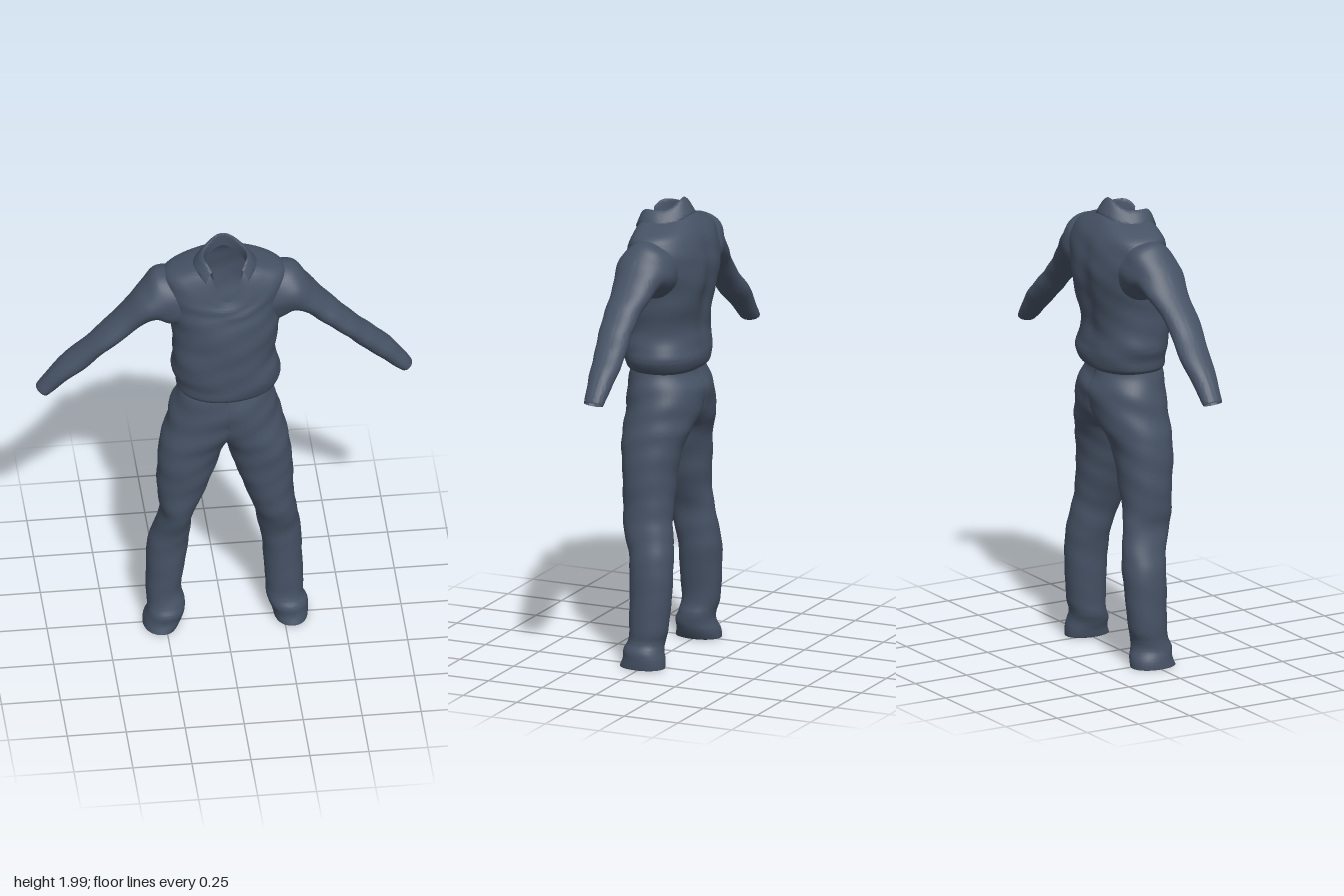
import * as THREE from 'three';
import { toCreasedNormals } from 'three/addons/utils/BufferGeometryUtils.js';

const cloth = new THREE.MeshStandardMaterial({ color: 0x465265, side: THREE.DoubleSide });
cloth.name = 'slate blue cloth';

// Smooth interpolation between neighbouring cross-sections
function blend(rows, t) {
  const i = Math.min(Math.floor(t), rows.length - 2), f = t - i;
  const a = rows[Math.max(i - 1, 0)], b = rows[i], c = rows[i + 1], d = rows[Math.min(i + 2, rows.length - 1)];
  return b.map((_, k) => {
    const m0 = (c[k] - a[k]) / 2, m1 = (d[k] - b[k]) / 2;
    const f2 = f * f, f3 = f2 * f;
    return (2 * f3 - 3 * f2 + 1) * b[k] + (f3 - 2 * f2 + f) * m0 + (3 * f2 - 2 * f3) * c[k] + (f3 - f2) * m1;
  });
}

// Soft fabric folds, as a small change of girth
function folds(x, y, z) {
  return Math.sin(26 * y + 17 * x + 9 * z) * Math.sin(15 * z - 11 * x + 5 * y) +
    0.6 * Math.sin(57 * y - 23 * x + 19 * z);
}

// Section rows: [ax, ay, bx, by, zFront, zBack, frontLift, backLift];
// each section is an oval that spans from A to B and from zBack to zFront.
function loft(name, rows, { from = 0, to = Math.PI * 2, segs = 48, steps = 6, power = 1, fold = 0.02, warp } = {}) {
  const closed = to - from > 6.28;
  const cols = closed ? segs : segs + 1;
  const count = (rows.length - 1) * steps;
  const pos = [], index = [];
  for (let r = 0; r <= count; r++) {
    const [ax, ay, bx, by, zf, zb, lf = 0, lb = 0] = blend(rows, r / steps);
    for (let j = 0; j < cols; j++) {
      const t = from + (to - from) * j / segs;
      const c0 = Math.cos(t), s0 = Math.sin(t);
      let c = Math.sign(c0) * Math.abs(c0) ** power, s = Math.sign(s0) * Math.abs(s0) ** power;
      const mx = (ax + bx) / 2, my = (ay + by) / 2, mz = (zf + zb) / 2;
      const hx = (bx - ax) / 2, hy = (by - ay) / 2, hz = (zf - zb) / 2;
      const g = 1 + fold * folds(mx + hx * c, my + hy * c, mz + hz * s);
      c *= g;
      s *= g;
      const p = new THREE.Vector3(mx + hx * c, my + hy * c + (s0 > 0 ? lf : lb) * s0 ** 4, mz + hz * s);
      if (warp) warp(p);
      pos.push(p.x, p.y, p.z);
    }
  }
  for (let r = 0; r < count; r++) {
    for (let j = 0; j < segs; j++) {
      const k = (j + 1) % cols, a = r * cols + j, b = r * cols + k;
      index.push(a, a + cols, b, b, a + cols, b + cols);
    }
  }
  const geo = new THREE.BufferGeometry();
  geo.setAttribute('position', new THREE.Float32BufferAttribute(pos, 3));
  geo.setIndex(index);
  const mesh = new THREE.Mesh(toCreasedNormals(geo, 0.9), cloth);
  mesh.name = name;
  return mesh;
}

// Level section
const level = (y, xa, xb, zf, zb, lf = 0, lb = 0) => [xa, y, xb, y, zf, zb, lf, lb];

export function createModel() {
  const model = new THREE.Group();
  model.name = 'shirtAndTrousers';

  // Shirt body, from the gathered hem up to the V-shaped neckline
  model.add(loft('shirtBody', [
    level(1.265, -0.185, 0.185, 0.16, -0.125),
    level(1.285, -0.205, 0.215, 0.175, -0.148),
    level(1.33, -0.212, 0.238, 0.18, -0.158),
    level(1.38, -0.225, 0.232, 0.182, -0.15),
    level(1.45, -0.22, 0.212, 0.185, -0.143),
    level(1.55, -0.22, 0.225, 0.185, -0.16),
    level(1.65, -0.235, 0.24, 0.178, -0.178),
    level(1.73, -0.255, 0.255, 0.166, -0.183, -0.03),
    level(1.81, -0.265, 0.265, 0.158, -0.167, -0.08),
    level(1.865, -0.25, 0.25, 0.152, -0.145, -0.115),
    level(1.9, -0.18, 0.18, 0.147, -0.11, -0.135, 0.015),
    level(1.925, -0.088, 0.088, 0.14, -0.06, -0.145, 0.03),
  ], {
    segs: 72, power: 0.9, fold: 0.012,
    // shallow groove along the spine
    warp: (p) => {
      if (p.z < 0 && p.y > 1.35 && p.y < 1.88) {
        const fade = Math.sin(Math.PI * (p.y - 1.35) / 0.53);
        p.z += 0.016 * fade * Math.exp(-((p.x / 0.045) ** 2));
      }
    },
  }));

  // Fold-over collar, open at the front
  model.add(loft('collar', [
    level(1.91, -0.086, 0.086, 0.13, -0.052, -0.1, 0.03),
    level(1.952, -0.09, 0.09, 0.132, -0.05, -0.11, 0.044),
    level(1.96, -0.097, 0.097, 0.137, -0.056, -0.11, 0.042),
    level(1.948, -0.112, 0.112, 0.144, -0.07, -0.11, 0.04),
    level(1.912, -0.135, 0.135, 0.156, -0.095, -0.1, 0.03),
    level(1.906, -0.13, 0.13, 0.15, -0.09, -0.1, 0.03),
  ], { from: Math.PI * 0.73, to: Math.PI * 2.27, fold: 0 }));

  // Sleeves, from inside the shoulder down to the open cuff
  for (const side of [1, -1]) {
    const rows = [
      [0.16, 1.59, 0.16, 1.85, 0.11, -0.125],
      [0.225, 1.605, 0.285, 1.865, 0.115, -0.122],
      [0.28, 1.648, 0.35, 1.8, 0.112, -0.102],
      [0.335, 1.635, 0.41, 1.72, 0.1, -0.085],
      [0.415, 1.572, 0.49, 1.636, 0.095, -0.063],
      [0.505, 1.492, 0.572, 1.552, 0.086, -0.058],
      [0.575, 1.42, 0.645, 1.482, 0.074, -0.062],
      [0.645, 1.358, 0.71, 1.418, 0.062, -0.058],
      [0.705, 1.302, 0.762, 1.352, 0.05, -0.048],
      [0.745, 1.27, 0.797, 1.3, 0.043, -0.043],
      [0.735, 1.284, 0.778, 1.312, 0.037, -0.037],
    ].map(([ax, ay, bx, by, zf, zb]) => [side * ax, ay, side * bx, by, zf, zb]);
    model.add(loft(side > 0 ? 'leftSleeve' : 'rightSleeve', rows, { fold: 0.03 }));
  }

  // Trouser halves: the hips meet on the centre seam and part at the crotch
  const hips = [
    [1.32, -0.18, 0.18, 0.15, -0.12],
    [1.25, -0.19, 0.198, 0.166, -0.13],
    [1.18, -0.19, 0.222, 0.17, -0.16],
    [1.1, -0.14, 0.243, 0.163, -0.153],
    [1.03, -0.05, 0.262, 0.156, -0.136],
    [0.985, -0.006, 0.272, 0.151, -0.12],
    [0.92, 0.02, 0.281, 0.147, -0.105],
    [0.8, 0.058, 0.288, 0.134, -0.093],
  ];
  const shins = {
    leftTrouserLeg: [
      [0.68, 0.098, 0.294, 0.124, -0.09],
      [0.6, 0.125, 0.305, 0.112, -0.097],
      [0.5, 0.143, 0.32, 0.082, -0.11],
      [0.4, 0.163, 0.33, 0.072, -0.114],
      [0.2, 0.175, 0.336, 0.068, -0.1],
      [0.13, 0.178, 0.335, 0.072, -0.085],
      [0.09, 0.19, 0.352, 0.09, -0.085],
      [0.05, 0.203, 0.354, 0.092, -0.095],
      [0.015, 0.213, 0.352, 0.102, -0.098],
      [0.03, 0.222, 0.342, 0.09, -0.088],
    ],
    rightTrouserLeg: [
      [0.68, 0.105, 0.28, 0.124, -0.09],
      [0.6, 0.135, 0.273, 0.112, -0.097],
      [0.5, 0.144, 0.3, 0.082, -0.11],
      [0.4, 0.152, 0.324, 0.072, -0.114],
      [0.2, 0.181, 0.33, 0.068, -0.1],
      [0.13, 0.167, 0.325, 0.075, -0.085],
      [0.09, 0.168, 0.328, 0.092, -0.083],
      [0.05, 0.178, 0.342, 0.09, -0.095],
      [0.012, 0.2, 0.345, 0.102, -0.098],
      [0.03, 0.21, 0.335, 0.09, -0.088],
    ],
  };
  for (const [name, shin] of Object.entries(shins)) {
    const side = name.startsWith('left') ? 1 : -1;
    const rows = [...hips, ...shin].map(([y, inner, outer, zf, zb]) =>
      level(y, side * inner, side * outer, zf, zb));
    model.add(loft(name, rows, {
      fold: 0.018, power: 0.95,
      warp: (p) => { p.x = side * Math.max(0, side * p.x); p.y = Math.max(0, p.y); },
    }));
  }

  // Rest the hems on the ground
  const box = new THREE.Box3().setFromObject(model);
  model.position.y = -box.min.y;
  return model;
}
